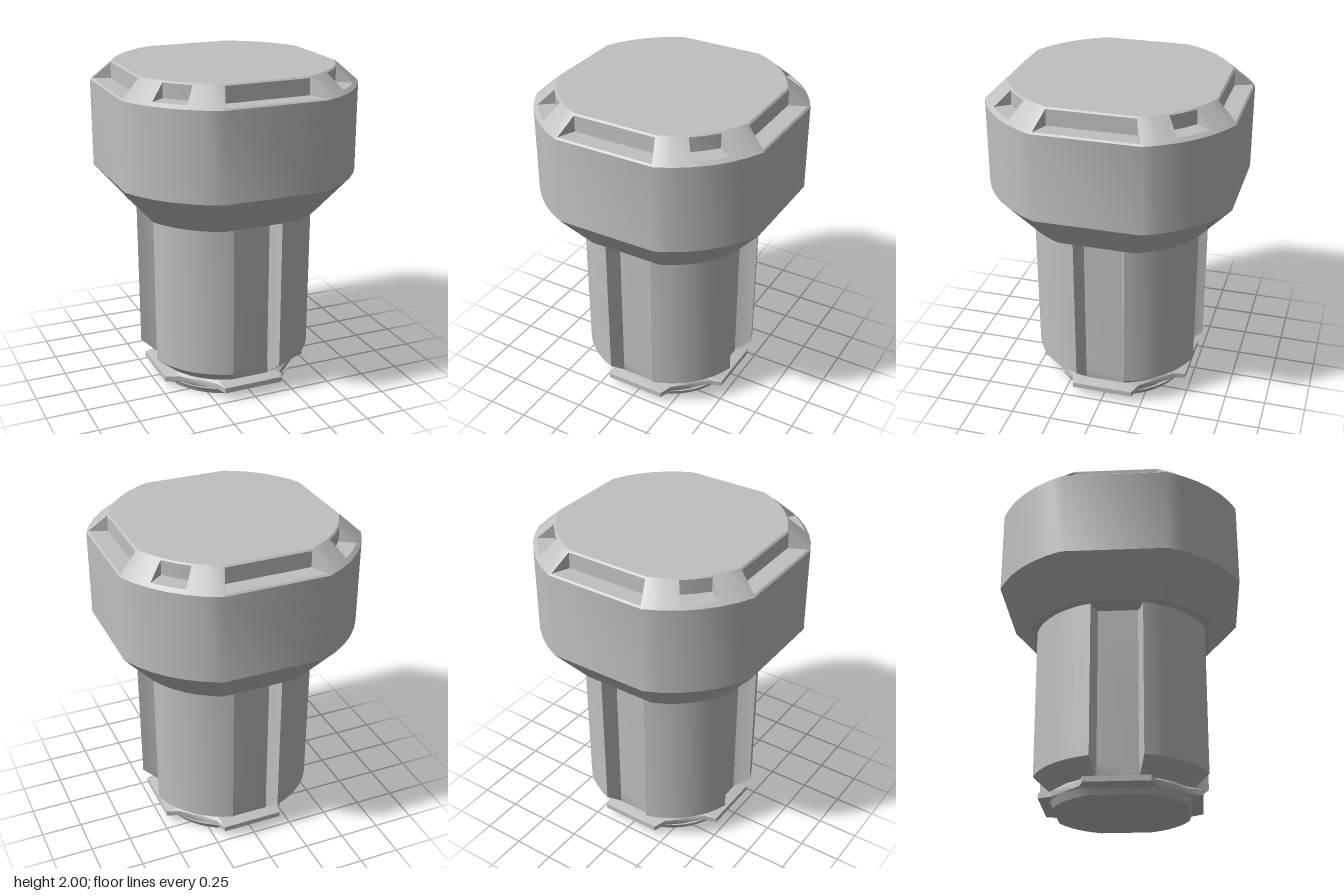
import * as THREE from 'three';
import { toCreasedNormals } from 'three/addons/utils/BufferGeometryUtils.js';

const grey = new THREE.MeshStandardMaterial({ color: 0xc0c0c0 });
grey.name = 'plain grey';

const polar = (r, deg) => [r * Math.cos(deg * Math.PI / 180), r * Math.sin(deg * Math.PI / 180)];

// Repeat the [x, z] points of one quarter four times around the y axis
function fourfold(quarter) {
  const out = [];
  for (let k = 0; k < 4; k++) {
    for (let [x, z] of quarter) {
      for (let i = 0; i < k; i++) [x, z] = [-z, x];
      out.push([x, z]);
    }
  }
  return out;
}

// Place an outline at height y, scaled
const ring = (outline, y, s = 1) => outline.map(([x, z]) => new THREE.Vector3(x * s, y, z * s));

function meshFrom(name, tris, crease = 0.6) {
  const geo = new THREE.BufferGeometry().setFromPoints(tris);
  const mesh = new THREE.Mesh(toCreasedNormals(geo, crease), grey);
  mesh.name = name;
  return mesh;
}

const quad = (tris, a, b, c, d) => tris.push(a, b, c, a, c, d);

// Skin between stacked rings, with optional flat end caps
function loft(name, rings, capBottom = true, capTop = true) {
  const tris = [];
  const n = rings[0].length;
  const top = rings[rings.length - 1];
  const centre = (y) => new THREE.Vector3(0, y, 0);
  for (let j = 0; j < n; j++) {
    const k = (j + 1) % n;
    for (let i = 0; i + 1 < rings.length; i++) {
      quad(tris, rings[i][j], rings[i + 1][j], rings[i + 1][k], rings[i][k]);
    }
    if (capBottom) tris.push(centre(rings[0][j].y), rings[0][j], rings[0][k]);
    if (capTop) tris.push(centre(top[j].y), top[k], top[j]);
  }
  return meshFrom(name, tris);
}

// Sloping rim of the head with long pockets on the sides and short ones on the corners
function buildRim(lower, upper, perQuarter) {
  const rim = [], pockets = [];
  const n = lower.length;
  for (let j = 0; j < n; j++) {
    const k = (j + 1) % n;
    const type = j % perQuarter;
    const at = (i, v) => lower[i].clone().lerp(upper[i], v);
    const strip = (v0, v1) => quad(rim, at(j, v0), at(j, v1), at(k, v1), at(k, v0));
    const isSide = type === 1, isCorner = type === 5 || type === 6;
    if (!isSide && !isCorner) {
      strip(0, 1);
      continue;
    }
    const [v0, v1] = isSide ? [0.08, 0.92] : [0.17, 0.93];
    strip(0, v0);
    strip(v1, 1);
    const a0 = at(j, v0), a1 = at(k, v0), b0 = at(j, v1), b1 = at(k, v1);
    const c0 = b0.clone().setY(a0.y), c1 = b1.clone().setY(a1.y);
    quad(pockets, c0, c1, a1, a0);              // floor
    quad(pockets, c0, b0, b1, c1);              // back wall
    if (type !== 6) pockets.push(a0, b0, c0);   // end walls
    if (type !== 5) pockets.push(a1, c1, b1);
  }
  return [meshFrom('headRim', rim), meshFrom('rimPockets', pockets)];
}

export function createModel() {
  const model = new THREE.Group();
  model.name = 'plug';

  // Head: a circle trimmed to a square
  const W = 0.735, F = 0.31, R = Math.hypot(W, F);
  const arc = [30, 37.4, 45, 52.6, 60].map((d) => polar(R, d));
  const headOutline = fourfold([[W, -F], [W, F], ...arc]);
  const rimOutline = fourfold([[W, -F], [W, -0.302], [W, 0.302], [W, F], ...arc]);
  const topScale = 0.61 / W;
  model.add(loft('head', [
    ring(headOutline, 1.13, 0.74),
    ring(headOutline, 1.36),
    ring(headOutline, 1.885),
  ], true, false));
  model.add(...buildRim(ring(rimOutline, 1.885), ring(rimOutline, 2, topScale), 9));

  const lid = [];
  const edge = ring(headOutline, 2, topScale);
  edge.forEach((p, j) => lid.push(new THREE.Vector3(0, 2, 0), edge[(j + 1) % edge.length], p));
  model.add(meshFrom('headTop', lid));

  // Shaft: four rounded lobes with a groove on each side
  const lobe = [];
  for (let i = 0; i <= 8; i++) lobe.push(polar(0.541, 16.6 + i * 56.8 / 8));
  const shaftOutline = fourfold([
    [0.417, -0.12], [0.417, 0.12], [0.463, 0.14],
    ...lobe, [0.14, 0.463],
  ]);
  const foot = ring(shaftOutline, 0.1);
  foot.forEach((p) => {
    const s = Math.min(1, 0.43 / Math.hypot(p.x, p.z));
    p.x *= s;
    p.z *= s;
  });
  model.add(loft('groovedShaft', [
    foot,
    ring(shaftOutline, 0.19, 0.99),
    ring(shaftOutline, 1.2),
  ]));

  // Thin flange: four tabs with the corners cut back
  const flangeOutline = fourfold([
    [0.475, -0.19], [0.475, 0], [0.475, 0.19],
    [0.395, 0.215], [0.307, 0.307], [0.215, 0.395],
  ]);
  const inner = flangeOutline.map(([x, z]) => {
    const s = Math.min(1, 0.425 / Math.hypot(x, z));
    return [x * s, z * s];
  });
  model.add(loft('flange', [
    ring(inner, 0.035),
    ring(flangeOutline, 0.05),
    ring(flangeOutline, 0.083),
    ring(inner, 0.1),
  ]));

  // Base plate under the flange
  const baseArc = [30, 37.5, 45, 52.5, 60].map((d) => polar(0.42, d));
  const baseOutline = fourfold([[0.39, -0.156], [0.39, 0.156], ...baseArc]);
  model.add(loft('basePlate', [
    ring(baseOutline, 0),
    ring(baseOutline, 0.04, 1.05),
  ]));

  return model;
}
